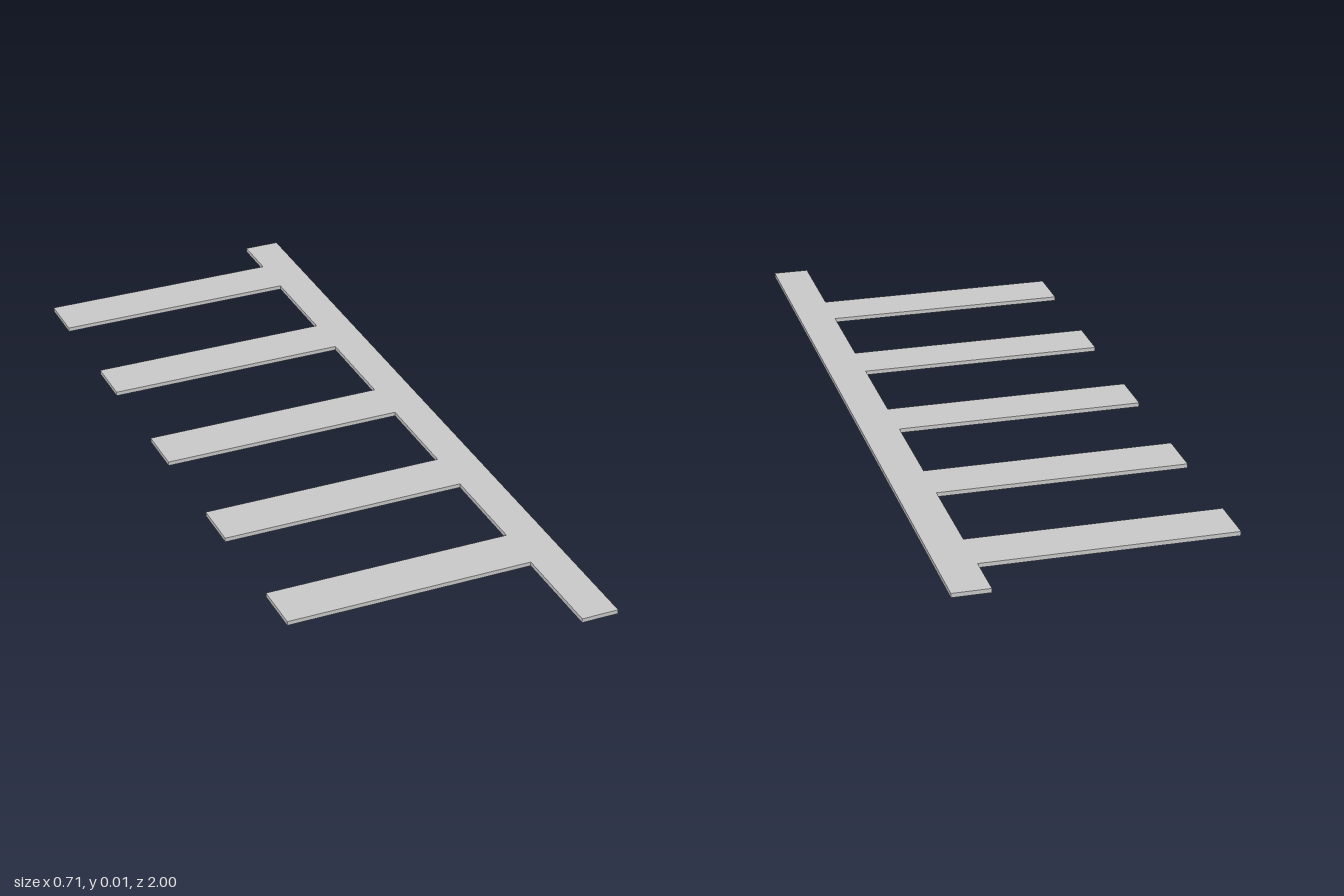
import * as THREE from 'three';

export function createModel() {
  const halfWidth = 0.354, inner = 0.262, thickness = 0.0105;
  const teeth = 5, pitch = 0.375, toothWidth = 0.125, firstTooth = -0.7475;

  // Comb outline: straight spine on the left, teeth reaching to the right
  const outline = new THREE.Shape();
  outline.moveTo(inner, -1);
  outline.lineTo(halfWidth, -1);
  outline.lineTo(halfWidth, 1);
  outline.lineTo(inner, 1);
  for (let i = teeth - 1; i >= 0; i--) {
    const low = firstTooth + i * pitch, high = low + toothWidth;
    outline.lineTo(inner, high);
    outline.lineTo(-halfWidth, high);
    outline.lineTo(-halfWidth, low);
    outline.lineTo(inner, low);
  }
  outline.closePath();

  // Flat plate laid on the ground
  const geometry = new THREE.ExtrudeGeometry(outline, { depth: thickness, bevelEnabled: false });
  geometry.rotateX(-Math.PI / 2);
  const plate = new THREE.Mesh(geometry, new THREE.MeshStandardMaterial({ color: 0xcccccc }));
  plate.name = 'combPlate';

  const model = new THREE.Group();
  model.name = 'comb';
  model.add(plate);
  return model;
}
